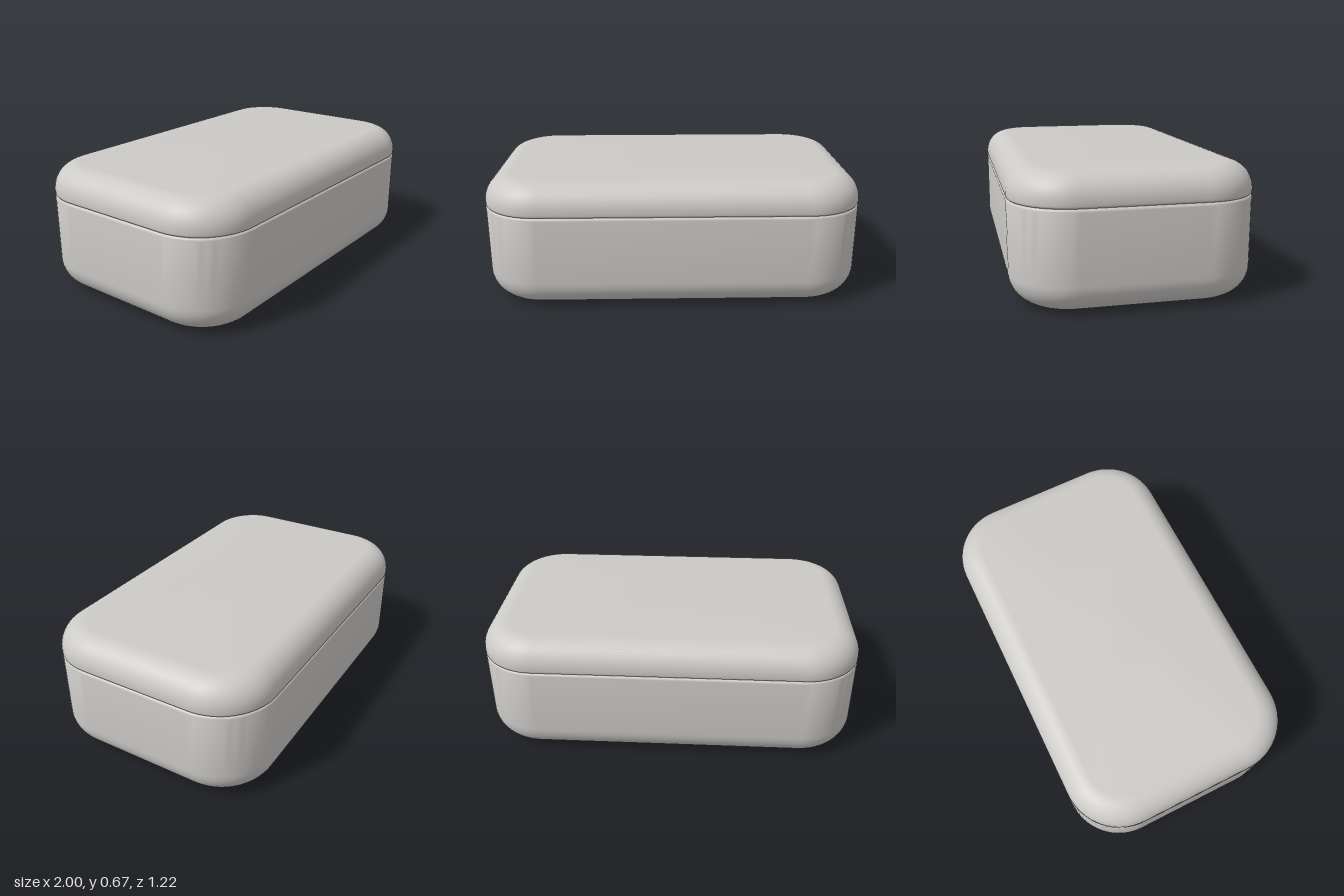
import * as THREE from 'three';
import { toCreasedNormals } from 'three/addons/utils/BufferGeometryUtils.js';

const HALF_X = 1, HALF_Z = 0.61, CORNER = 0.3, CORNER_STEPS = 16;
const SEAM_Y = 0.511, TOP_Y = 0.67;

// Rounded-rectangle ring, shrunk evenly by inset; a null inset is the centre point
function ring(inset, y) {
  const points = [];
  for (let corner = 0; corner < 4; corner++) {
    const sx = corner === 0 || corner === 3 ? 1 : -1;
    const sz = corner < 2 ? 1 : -1;
    for (let i = 0; i <= CORNER_STEPS; i++) {
      const a = (corner + i / CORNER_STEPS) * Math.PI / 2;
      const r = CORNER - inset;
      points.push(inset === null
        ? [0, y, 0]
        : [sx * (HALF_X - CORNER) + r * Math.cos(a), y, sz * (HALF_Z - CORNER) + r * Math.sin(a)]);
    }
  }
  return points;
}

// Skins a profile of [inset, y] pairs, running from the bottom centre to the top centre
function loft(profile) {
  const positions = [];
  const rings = profile.map(([inset, y]) => ring(inset, y));
  for (let k = 0; k < rings.length - 1; k++) {
    const low = rings[k], high = rings[k + 1], n = low.length;
    for (let j = 0; j < n; j++) {
      const m = (j + 1) % n;
      if (profile[k][0] !== null) positions.push(...low[j], ...high[j], ...low[m]);
      if (profile[k + 1][0] !== null) positions.push(...low[m], ...high[j], ...high[m]);
    }
  }
  const geometry = new THREE.BufferGeometry();
  geometry.setAttribute('position', new THREE.Float32BufferAttribute(positions, 3));
  return toCreasedNormals(geometry, 0.6);
}

// Quarter-round edge: outward from a flat bottom, or inward to a flat top
function roundBottom(r, y, steps) {
  return Array.from({ length: steps + 1 }, (_, i) => {
    const a = i / steps * Math.PI / 2;
    return [r * (1 - Math.sin(a)), y + r * (1 - Math.cos(a))];
  });
}
function roundTop(r, y, steps) {
  return roundBottom(r, 0, steps).reverse().map(([inset, h]) => [inset, y - h]);
}

export function createModel() {
  const group = new THREE.Group();
  group.name = 'roundedBox';
  const shell = new THREE.MeshStandardMaterial({ color: 0xcccac7 });
  shell.name = 'warmGrey';

  // Base with a shallow recess underneath
  const base = new THREE.Mesh(loft([
    [null, 0.045], [0.165, 0.045], [0.165, 0],
    ...roundBottom(0.15, 0, 14),
    ...roundTop(0.016, SEAM_Y, 5),
    [null, SEAM_Y],
  ]), shell);
  base.name = 'base';

  // Lid with a soft top edge and a fine lower edge that forms the seam
  const lid = new THREE.Mesh(loft([
    [null, SEAM_Y],
    ...roundBottom(0.012, SEAM_Y, 5),
    ...roundTop(0.135, TOP_Y, 14),
    [null, TOP_Y],
  ]), shell);
  lid.name = 'lid';

  group.add(base, lid);
  return group;
}
